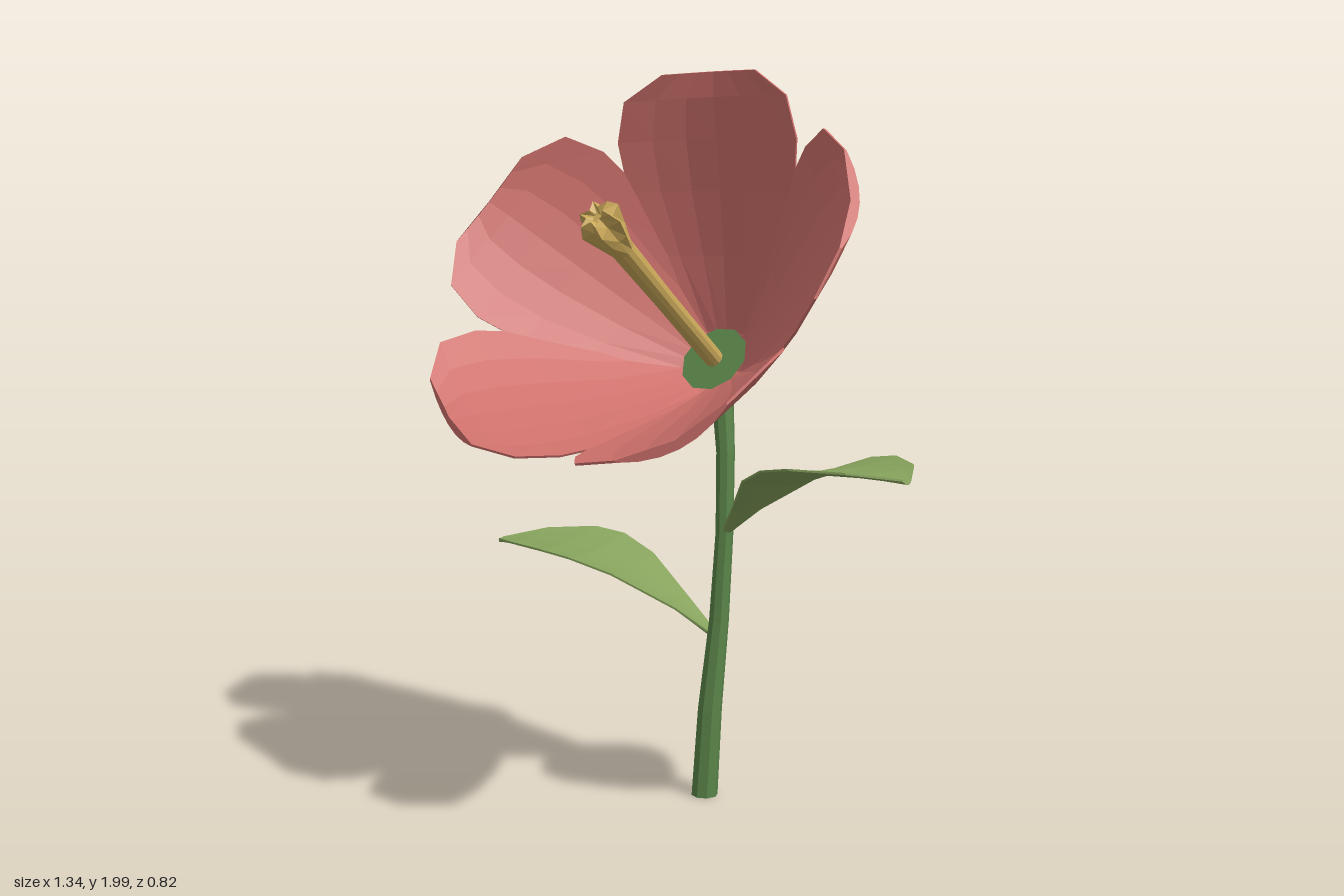
import * as THREE from 'three';

const mat = (color) => new THREE.MeshStandardMaterial({ color, flatShading: true, side: THREE.DoubleSide });
const V = (x, y, z) => new THREE.Vector3(x, y, z);

// Closed skin over rings of equal point count, with a fan over each end
function loft(name, rings, material) {
  const n = rings[0].length;
  const pos = [], idx = [];
  rings.forEach((ring) => ring.forEach((p) => pos.push(p.x, p.y, p.z)));
  for (let i = 0; i < rings.length - 1; i++) {
    for (let j = 0; j < n; j++) {
      const a = i * n + j, b = i * n + (j + 1) % n;
      idx.push(a, a + n, b, b, a + n, b + n);
    }
  }
  [0, rings.length - 1].forEach((i) => {
    const c = rings[i].reduce((s, p) => s.add(p), V(0, 0, 0)).divideScalar(n);
    const k = pos.length / 3;
    pos.push(c.x, c.y, c.z);
    for (let j = 0; j < n; j++) {
      const a = i * n + j, b = i * n + (j + 1) % n;
      if (i === 0) idx.push(k, a, b); else idx.push(k, b, a);
    }
  });
  const geo = new THREE.BufferGeometry();
  geo.setAttribute('position', new THREE.Float32BufferAttribute(pos, 3));
  geo.setIndex(idx);
  geo.computeVertexNormals();
  const mesh = new THREE.Mesh(geo, material);
  mesh.name = name;
  return mesh;
}

// Ring of a thin blade: one face across, then the other face back
function bladeRing(center, side, normal, halfWidth, cup, thick) {
  const steps = [-1, -0.67, -0.33, 0, 0.33, 0.67, 1];
  const at = (v, t) => center.clone()
    .addScaledVector(side, v * halfWidth)
    .addScaledVector(normal, cup * v * v + t);
  return [...steps.map((v) => at(v, 0)), ...steps.reverse().map((v) => at(v, -thick * (1 - 0.6 * v * v)))];
}

// Horizontal ring; star > 0 pulls every other point inwards
function roundRing(center, radius, sides, star = 0) {
  return Array.from({ length: sides }, (_, i) => {
    const a = -i / sides * Math.PI * 2, r = radius * (i % 2 ? 1 - star : 1);
    return V(center.x + Math.cos(a) * r, center.y, center.z + Math.sin(a) * r);
  });
}

export function createModel() {
  const model = new THREE.Group();
  model.name = 'flower';
  const petalMat = mat(0xcf716c), stemMat = mat(0x5a8549), leafMat = mat(0x86a25c), pistilMat = mat(0xccaa5a);

  // Stem: gently bent, tapering upwards
  const stemPoints = [
    [-0.025, 0, -0.29, 0.037], [-0.015, 0.25, -0.3, 0.034], [0, 0.5, -0.32, 0.028],
    [0.01, 0.75, -0.33, 0.025], [0.005, 0.97, -0.34, 0.026], [-0.01, 1.1, -0.348, 0.03], [-0.02, 1.18, -0.36, 0.034],
  ];
  model.add(loft('stem', stemPoints.map(([x, y, z, r]) => roundRing(V(x, y, z), r, 8)), stemMat));

  // Leaves: x, y, z and half width along the midrib, mirrored for the other side
  const leafRows = [
    [0.0, 0.0, -0.33, 0.012], [0.1, 0.08, -0.3, 0.06], [0.25, 0.175, -0.26, 0.155],
    [0.36, 0.215, -0.235, 0.195], [0.45, 0.23, -0.215, 0.19], [0.57, 0.235, -0.185, 0.12], [0.655, 0.23, -0.16, 0.015],
  ];
  const addLeaf = (name, dir, x, y) => {
    const rings = leafRows.map(([lx, ly, lz, w]) => bladeRing(
      V(x + dir * lx, y + ly, lz), V(-0.26 * dir, 0, 0.965), V(-0.35 * dir, 0.94, 0), w, w * 0.1, 0.014));
    model.add(loft(name, rings, leafMat));
  };
  addLeaf('leftLeaf', 1, 0.01, 0.75);
  addLeaf('rightLeaf', -1, -0.01, 0.45);

  // Flower head: its own axis is y, tipped towards the front
  const head = new THREE.Group();
  head.name = 'flowerHead';
  head.position.set(-0.022, 1.22, -0.33);
  head.rotation.x = 0.94;
  model.add(head);

  // Petals: radius, height, half width and cup depth from base to tip
  const petalRows = [
    [0.04, -0.025, 0.04, 0], [0.09, 0.005, 0.09, 0.01], [0.25, 0.14, 0.2, 0.04], [0.38, 0.26, 0.27, 0.055],
    [0.48, 0.355, 0.29, 0.06], [0.56, 0.43, 0.262, 0.055], [0.613, 0.47, 0.15, 0.03],
  ];
  for (let i = 0; i < 5; i++) {
    const rings = petalRows.map(([r, h, w, cup]) => bladeRing(V(0, h, -r), V(1, 0, 0), V(0, 0.72, 0.69), w, cup, 0.016));
    const petal = loft('petal' + (i + 1), rings, petalMat);
    petal.rotation.y = i * Math.PI * 2 / 5;
    head.add(petal);
  }

  // Calyx: shallow dome behind the petals and a disc inside them
  const dome = new THREE.Mesh(new THREE.SphereGeometry(0.112, 12, 4, 0, Math.PI * 2, Math.PI / 2, Math.PI / 2), stemMat);
  dome.name = 'calyx';
  dome.scale.y = 0.65;
  head.add(dome);
  const disc = new THREE.Mesh(new THREE.CircleGeometry(0.1, 10).rotateX(-Math.PI / 2), stemMat);
  disc.name = 'flowerCentre';
  disc.position.y = 0.012;
  head.add(disc);

  // Pistil: slim shaft opening into a six-pointed head
  const pistilRows = [
    [0, 0, 0.026, 0], [0.006, 0.3, 0.027, 0], [0.012, 0.53, 0.031, 0],
    [0.015, 0.585, 0.046, 0.2], [0.017, 0.645, 0.062, 0.42], [0.017, 0.675, 0.046, 0.5], [0.017, 0.66, 0.012, 0],
  ];
  head.add(loft('pistil', pistilRows.map(([x, h, r, star]) => roundRing(V(x, h, 0), r, 12, star)), pistilMat));

  return model;
}
